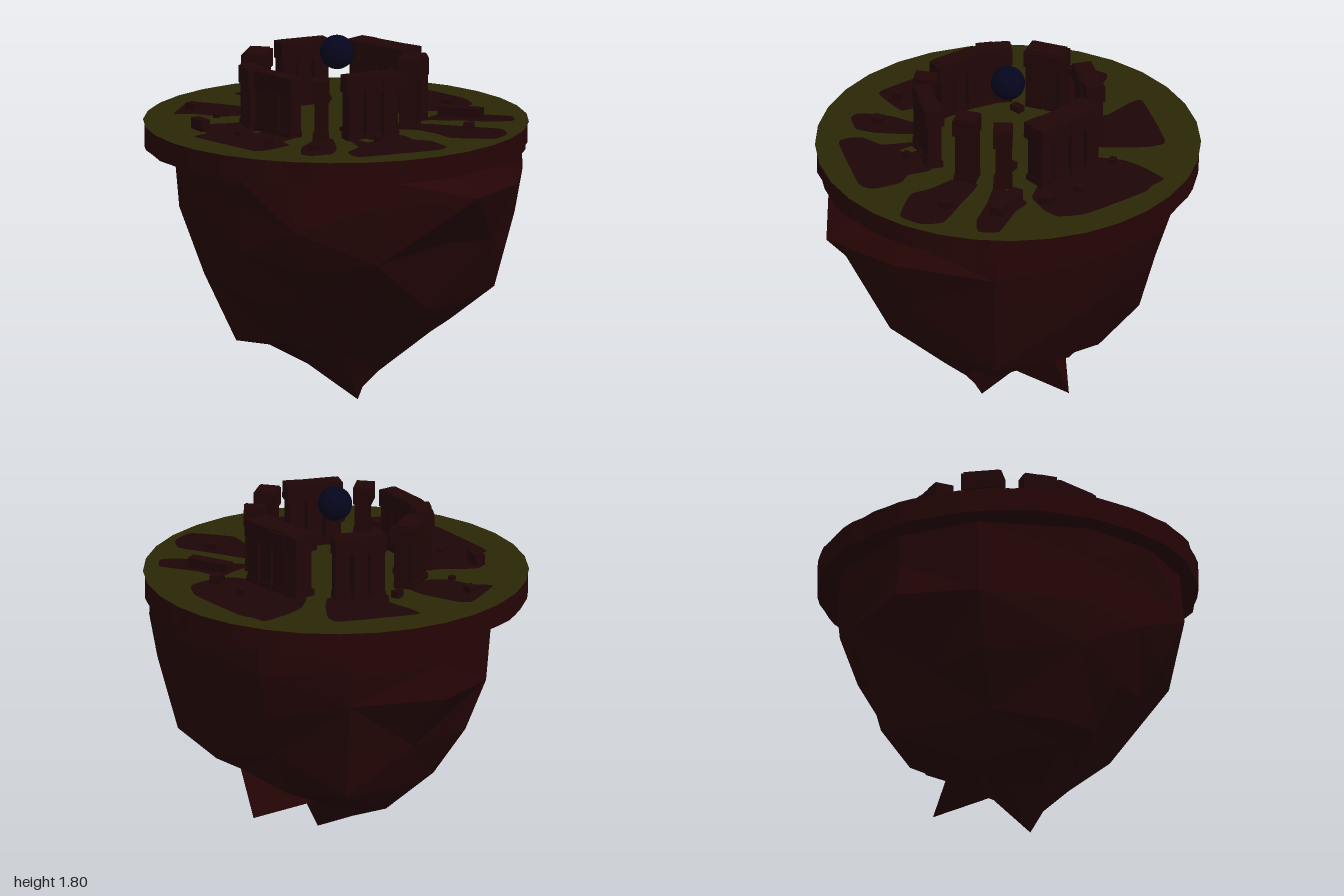
import * as THREE from 'three';

const material = (name, color) => Object.assign(new THREE.MeshStandardMaterial({ color }), { name });
const rock = material('dark rock', 0x250405);
const stone = material('old stone', 0x200506);
const soil = material('bare soil', 0x1d0506);
const grass = material('grass', 0x292705);
const glow = material('midnight blue', 0x05051d);

const GROUND = 1.37, CENTRE_Z = -0.055;

let seed = 7;
const jitter = (amount) => {
  seed = (seed * 16807) % 2147483647;
  return (seed / 2147483647 - 0.5) * 2 * amount;
};

function addMesh(parent, name, geometry, mat, x = 0, y = 0, z = 0) {
  const mesh = new THREE.Mesh(geometry, mat);
  mesh.name = name;
  mesh.position.set(x, y, z);
  parent.add(mesh);
  return mesh;
}

// Jagged underside: faceted rings from the rim down to an off-centre tip
function undersideGeometry() {
  const angles = [3, 36, 68, 92, 121, 150, 174, 200, 238, 266, 298, 328].map(THREE.MathUtils.degToRad);
  const twists = [0, 0, 0, 0, -0.19, 0];
  const radii = [
    [0.88, 0.88, 0.93, 1.0, 0.83, 0.85, 0.78, 0.81, 0.85, 0.87, 0.89, 0.88],
    [0.8, 0.84, 0.8, 0.77, 0.77, 0.73, 0.77, 0.79, 0.83, 0.9, 0.85, 0.79],
    [0.65, 0.74, 0.66, 0.63, 0.57, 0.62, 0.65, 0.74, 0.72, 0.65, 0.77, 0.67],
    [0.51, 0.52, 0.47, 0.35, 0.36, 0.42, 0.5, 0.57, 0.55, 0.52, 0.69, 0.53],
    [0.505, 0.32, 0.28, 0.22, 0.22, 0.27, 0.32, 0.38, 0.36, 0.36, 0.36, 0.33],
    [0.19, 0.17, 0.13, 0.14, 0.15, 0.15, 0.15, 0.15, 0.18, 0.18, 0.17, 0.17],
  ];
  const heights = [
    [1.16, 1.12, 1.15, 1.16, 1.12, 1.0, 1.08, 1.1, 1.12, 1.1, 1.1, 1.1],
    [0.83, 0.9, 0.86, 0.9, 0.82, 0.77, 0.85, 0.88, 0.9, 0.93, 0.94, 0.84],
    [0.5, 0.53, 0.55, 0.54, 0.56, 0.61, 0.58, 0.68, 0.63, 0.62, 0.7, 0.62],
    [0.42, 0.37, 0.37, 0.3, 0.34, 0.38, 0.36, 0.33, 0.38, 0.37, 0.42, 0.37],
    [0.19, 0.3, 0.26, 0.16, 0.23, 0.26, 0.28, 0.3, 0.25, 0.2, 0.25, 0.27],
    [0.29, 0.27, 0.2, 0.07, 0.12, 0.15, 0.17, 0.17, 0.15, 0.13, 0.17, 0.26],
  ];
  const at = (a, r, y) => [Math.cos(a) * r, y, Math.sin(a) * r];
  const rings = [angles.map((a) => at(a, 0.86 + 0.03 * Math.cos(a) - 0.02 * Math.sin(a), 1.26))];
  radii.forEach((row, i) => rings.push(row.map((r, j) => at(angles[j] + twists[i], r, heights[i][j]))));
  rings.push(angles.map(() => [0, 0, 0.1]));
  const positions = [];
  for (let i = 0; i < rings.length - 1; i++) {
    for (let j = 0; j < 12; j++) {
      const k = (j + 1) % 12;
      const [a, b, c, d] = [rings[i][j], rings[i][k], rings[i + 1][k], rings[i + 1][j]];
      // Alternate the diagonals for irregular facets
      const triangles = i === rings.length - 2 ? [a, b, c]
        : (i + j) % 2 ? [a, b, d, b, c, d] : [a, b, c, a, c, d];
      positions.push(...triangles.flat());
    }
  }
  const geometry = new THREE.BufferGeometry();
  geometry.setAttribute('position', new THREE.Float32BufferAttribute(positions, 3));
  geometry.computeVertexNormals();
  return geometry;
}

// Rough stone rim: disc outline with uneven radius
function rimGeometry() {
  const shape = new THREE.Shape();
  for (let i = 0; i < 72; i++) {
    const a = (i / 72) * Math.PI * 2;
    const r = 0.928 + jitter(0.009);
    shape[i ? 'lineTo' : 'moveTo'](Math.cos(a) * r, Math.sin(a) * r);
  }
  return new THREE.ExtrudeGeometry(shape, { depth: 0.118, bevelEnabled: false }).rotateX(-Math.PI / 2);
}

// Worn soil patch with a rounded outline through [x, z] points
function patchGeometry(points) {
  const curve = new THREE.CatmullRomCurve3(
    points.map(([x, z]) => new THREE.Vector3(x, -z, 0)), true, 'catmullrom', 0.25);
  const outline = curve.getPoints(48).slice(0, -1).map((p) => new THREE.Vector2(p.x, p.y));
  return new THREE.ShapeGeometry(new THREE.Shape(outline)).rotateX(-Math.PI / 2);
}

// Standing stones carrying a worn lintel
function createArch([x, z, dx, dz, length, width, top]) {
  const arch = new THREE.Group();
  arch.name = 'stoneArch';
  arch.position.set(x, GROUND, z);
  arch.rotation.y = -Math.atan2(dz, dx);
  const height = top - GROUND;
  const count = Math.max(1, Math.round(length / 0.1));
  const step = length / count;
  for (let i = 0; i < count; i++) {
    const px = (i + 0.5) * step - length / 2;
    const pillarHeight = height - 0.07;
    const pillar = addMesh(arch, 'pillar', new THREE.BoxGeometry(step * 0.84, pillarHeight, width * 0.8),
      stone, px + jitter(0.004), pillarHeight / 2, jitter(0.006));
    pillar.rotation.y = jitter(0.1);
    addMesh(arch, 'pillarFoot', new THREE.BoxGeometry(step * 0.92, 0.03, width * 0.92), stone, px, 0.015, 0);
    // Uneven lintel stones resting on each pillar
    const block = addMesh(arch, 'lintelStone', new THREE.BoxGeometry(step, 0.085, width + jitter(0.008)),
      stone, px, height - 0.048 + jitter(0.004), jitter(0.004));
    block.rotation.z = jitter(0.03);
  }
  addMesh(arch, 'lintelCap', new THREE.BoxGeometry(length * 0.88, 0.02, width * 0.85), stone, 0, height - 0.01, 0);
  return arch;
}

export function createModel() {
  const model = new THREE.Group();
  model.name = 'floatingIsland';

  addMesh(model, 'underside', undersideGeometry(), rock);
  addMesh(model, 'rim', rimGeometry(), rock, 0, 1.25, CENTRE_Z);
  const top = new THREE.CircleGeometry(0.942, 32).rotateX(-Math.PI / 2);
  addMesh(model, 'grassTop', top, grass, 0, GROUND, CENTRE_Z);

  // Soil patches around the circle
  const patches = [
    [[-0.49, -0.69], [-0.28, -0.82], [-0.22, -0.79], [-0.14, -0.61], [-0.13, -0.51], [-0.27, -0.44], [-0.36, -0.49],
      [-0.42, -0.62]],
    [[0.05, -0.82], [0.43, -0.69], [0.42, -0.58], [0.27, -0.38], [0.01, -0.5], [0.06, -0.6], [0.03, -0.75]],
    [[0.72, -0.48], [0.74, -0.4], [0.77, -0.33], [0.78, 0.02], [0.72, 0.15], [0.63, 0.17], [0.5, 0.15], [0.42, 0.06],
      [0.32, 0.03], [0.35, -0.3], [0.46, -0.42], [0.57, -0.46]],
    [[0.43, 0.2], [0.53, 0.2], [0.57, 0.3], [0.68, 0.47], [0.62, 0.55], [0.53, 0.5], [0.42, 0.36], [0.31, 0.24]],
    [[0.14, 0.35], [0.25, 0.3], [0.36, 0.48], [0.45, 0.64], [0.4, 0.74], [0.28, 0.78], [0.14, 0.62], [0.15, 0.5]],
    [[-0.24, 0.3], [0, 0.4], [-0.02, 0.52], [0.02, 0.6], [-0.01, 0.74], [-0.09, 0.77], [-0.46, 0.63],
      [-0.48, 0.57], [-0.44, 0.5], [-0.33, 0.46]],
    [[-0.38, 0.2], [-0.3, 0.24], [-0.44, 0.42], [-0.53, 0.48], [-0.63, 0.44], [-0.64, 0.38], [-0.53, 0.27]],
    [[-0.57, -0.44], [-0.42, -0.35], [-0.33, -0.3], [-0.38, 0], [-0.4, 0.1], [-0.52, 0.12], [-0.55, 0.2],
      [-0.73, 0.2], [-0.76, 0.15], [-0.76, -0.25], [-0.66, -0.27], [-0.64, -0.4]],
  ];
  for (const points of patches) addMesh(model, 'soilPatch', patchGeometry(points), soil, 0, GROUND + 0.003, 0);

  // Grass showing through the soil: x, z, width, depth
  for (const [x, z, w, d] of [[-0.21, 0.39, 0.05, 0.07], [-0.475, -0.115, 0.04, 0.025]]) {
    addMesh(model, 'grassTuft', new THREE.PlaneGeometry(w, d).rotateX(-Math.PI / 2), grass, x, GROUND + 0.006, z);
  }

  // Ring of arches: x, z, direction x and z, length, width, top
  const arches = [
    [-0.41, -0.03, 0, 1, 0.26, 0.09, 1.67],
    [-0.385, -0.24, 0.45, -0.9, 0.17, 0.09, 1.67],
    [-0.19, -0.42, 32, -22, 0.2, 0.115, 1.69],
    [0.135, -0.44, 48, 17, 0.26, 0.1, 1.69],
    [0.375, -0.12, 0.1, 1, 0.38, 0.13, 1.69],
    [0.31, 0.19, 23, 17, 0.11, 0.1, 1.69],
    [0.16, 0.3, 15, -13, 0.12, 0.11, 1.72],
    [-0.13, 0.33, 50, 18, 0.28, 0.09, 1.69],
    [-0.34, 0.2, 12, -12, 0.11, 0.085, 1.67],
  ];
  for (const arch of arches) model.add(createArch(arch));

  // Fallen blocks: x, z, width, depth, height, turn
  const blocks = [
    [-0.02, -0.55, 0.05, 0.04, 0.035, 0.4], [-0.23, -0.27, 0.06, 0.04, 0.03, 0.2],
    [-0.38, -0.5, 0.03, 0.03, 0.02, 0.5], [-0.35, -0.7, 0.05, 0.06, 0.035, 0.05],
    [-0.62, -0.36, 0.05, 0.1, 0.055, -0.2], [-0.645, 0.155, 0.045, 0.045, 0.05, 0.7],
    [-0.53, 0.35, 0.05, 0.05, 0.03, 0.6], [-0.13, 0.14, 0.03, 0.03, 0.02, 0.1],
    [0.21, 0.075, 0.05, 0.05, 0.035, 0.4], [0.44, -0.37, 0.03, 0.04, 0.02, 0.6],
    [0.575, -0.08, 0.05, 0.04, 0.03, 0.4], [0.585, 0.12, 0.07, 0.05, 0.045, 0.5],
    [0.33, 0.54, 0.06, 0.05, 0.035, 0.7], [0.5, 0.3, 0.06, 0.22, 0.05, 0.45],
    [-0.17, 0.43, 0.03, 0.03, 0.03, 0.3], [-0.57, -0.14, 0.03, 0.03, 0.02, 0.3],
  ];
  for (const [x, z, w, d, h, turn] of blocks) {
    addMesh(model, 'fallenBlock', new THREE.BoxGeometry(w, h, d), stone, x, GROUND + h / 2, z).rotation.y = turn;
  }

  // Orb hovering over the middle
  addMesh(model, 'orb', new THREE.SphereGeometry(0.084, 24, 16), glow, 0.004, 1.712, -0.052);
  return model;
}
